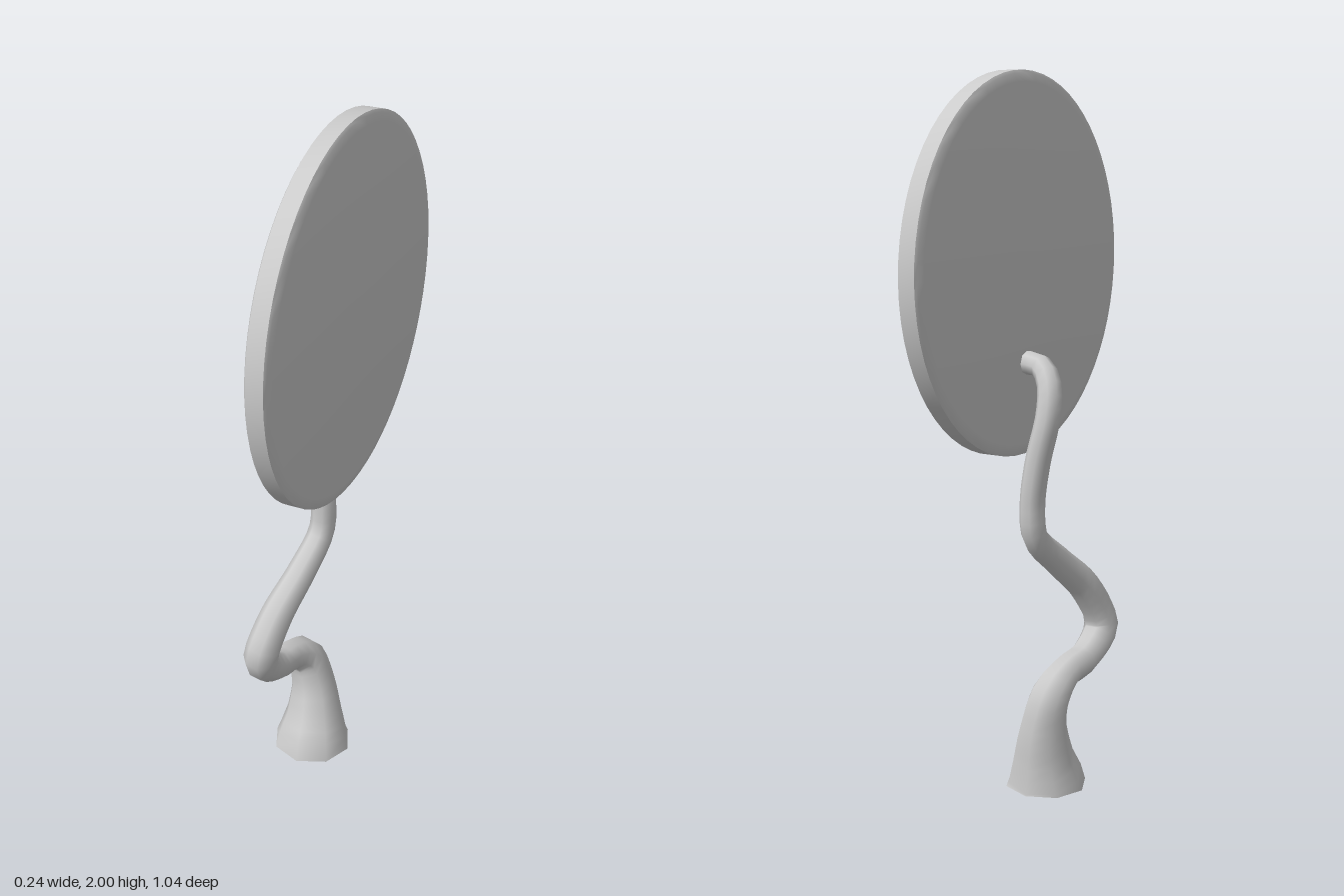
import * as THREE from 'three';
import { mergeVertices, toCreasedNormals } from 'three/addons/utils/BufferGeometryUtils.js';

// Stem centre line with radius: x, y, z, r
const STEM = [
  [-0.005, 0, 0, 0.118],
  [-0.01, 0.1, -0.025, 0.086],
  [-0.022, 0.2, -0.04, 0.066],
  [-0.042, 0.29, -0.028, 0.057],
  [-0.055, 0.335, 0.03, 0.045],
  [-0.066, 0.355, 0.12, 0.046],
  [-0.074, 0.43, 0.2, 0.051],
  [-0.052, 0.55, 0.147, 0.047],
  [-0.02, 0.65, 0.045, 0.041],
  [0, 0.74, -0.05, 0.037],
  [0.002, 0.83, -0.062, 0.036],
  [-0.014, 0.95, -0.062, 0.036],
  [-0.043, 1.09, -0.052, 0.035],
  [-0.033, 1.17, -0.032, 0.034],
  [0.005, 1.211, -0.01, 0.033],
  [0.07, 1.216, 0, 0.033],
];
const SIDES = 8;

// Eight-sided tube whose rings are scaled to a varying radius
function taperedTube(rows, segments) {
  const curve = new THREE.CatmullRomCurve3(rows.map(([x, y, z]) => new THREE.Vector3(x, y, z)));
  const geo = new THREE.TubeGeometry(curve, segments, 1, SIDES, false);
  const pos = geo.attributes.position;
  const v = new THREE.Vector3();
  for (let i = 0; i <= segments; i++) {
    const centre = curve.getPointAt(i / segments);
    const t = curve.getUtoTmapping(i / segments) * (rows.length - 1);
    const k = Math.min(Math.floor(t), rows.length - 2);
    const r = THREE.MathUtils.lerp(rows[k][3], rows[k + 1][3], t - k);
    for (let j = 0; j <= SIDES; j++) {
      const n = i * (SIDES + 1) + j;
      v.fromBufferAttribute(pos, n).sub(centre).multiplyScalar(r).add(centre);
      if (i === 0) v.y = 0; // foot stands flat
      pos.setXYZ(n, v.x, v.y, v.z);
    }
  }
  geo.deleteAttribute('uv');
  geo.deleteAttribute('normal');
  const smooth = mergeVertices(geo);
  smooth.computeVertexNormals();
  return smooth;
}

export function createModel() {
  const group = new THREE.Group();
  const material = new THREE.MeshStandardMaterial({ color: 0xcccccc });
  const add = (name, geometry) => {
    const mesh = new THREE.Mesh(geometry, material);
    mesh.name = name;
    group.add(mesh);
    return mesh;
  };

  // Winding stem with flared foot
  add('stem', taperedTube(STEM, 48));

  // Underside of the foot
  const sole = add('footUnderside', new THREE.CircleGeometry(0.118, SIDES));
  sole.rotation.x = Math.PI / 2;
  sole.position.x = -0.005;

  // Round disc with softened rim, axis along x
  const profile = [[0, -0.033], [0.49, -0.033], [0.512, -0.029], [0.52, -0.024],
    [0.52, 0.024], [0.512, 0.029], [0.49, 0.033], [0, 0.033]]
    .map(([r, h]) => new THREE.Vector2(r, h));
  const disc = add('disc', toCreasedNormals(new THREE.LatheGeometry(profile, 64), 0.6));
  disc.rotation.z = -Math.PI / 2;
  disc.position.set(0.088, 1.48, 0);

  return group;
}
